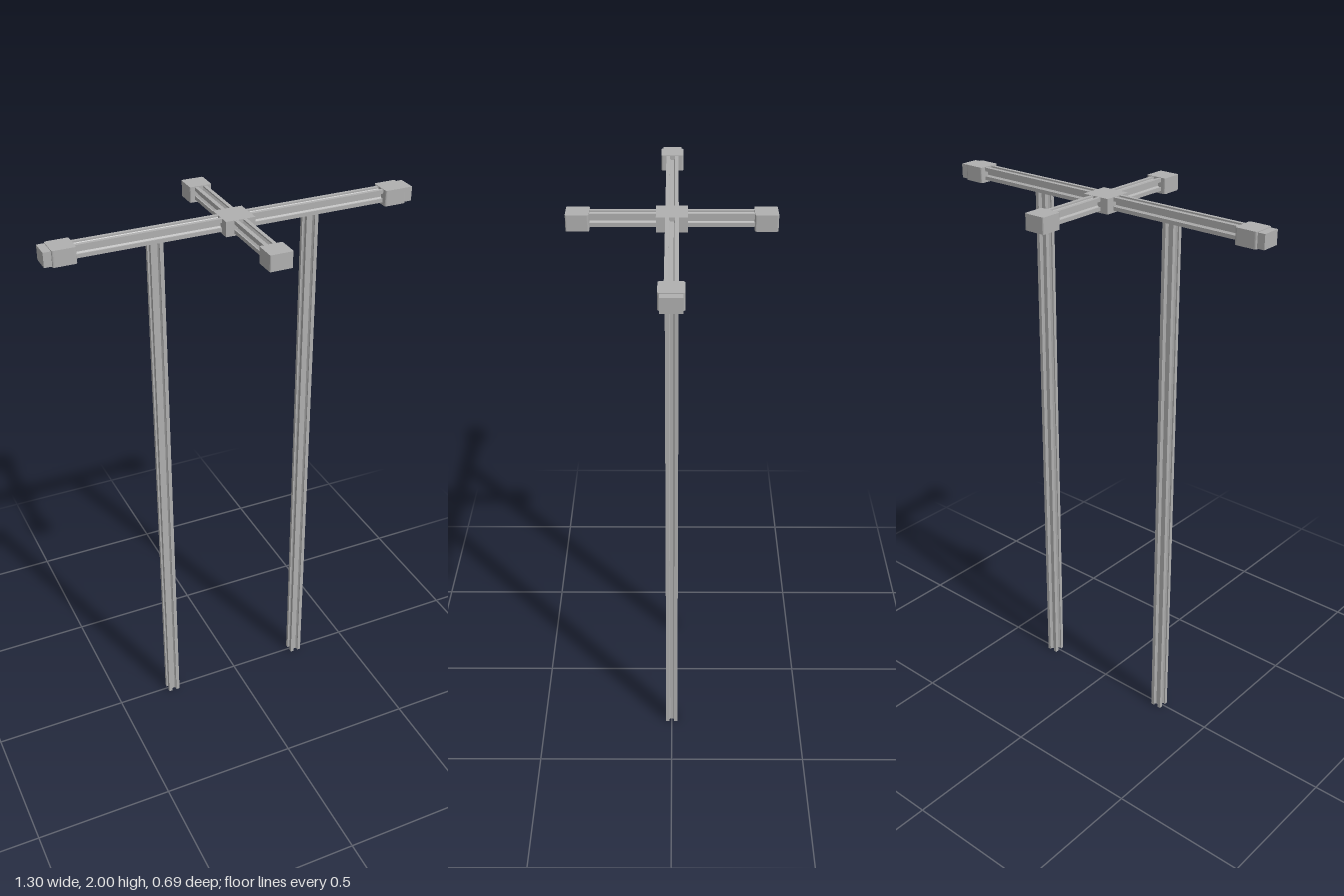
import * as THREE from 'three';

const metal = new THREE.MeshStandardMaterial({ color: 0xb0b0b0 });
metal.name = 'grey metal';

// Square extrusion section with a T-shaped slot in the middle of each side
function railShape(h) {
  const side = [[-h, -h], [-0.009, -h], [-0.009, -h + 0.005], [-0.012, -h + 0.005], [-0.006, -0.009],
    [0.006, -0.009], [0.012, -h + 0.005], [0.009, -h + 0.005], [0.009, -h]];
  const pts = [];
  for (let k = 0; k < 4; k++) {
    const c = Math.round(Math.cos(k * Math.PI / 2)), s = Math.round(Math.sin(k * Math.PI / 2));
    for (const [x, y] of side) pts.push(new THREE.Vector2(x * c - y * s, x * s + y * c));
  }
  return new THREE.Shape(pts);
}

// Slotted rail along z, centred on its length
function rail(name, length) {
  const geo = new THREE.ExtrudeGeometry(railShape(0.022), { depth: length, bevelEnabled: false });
  geo.translate(0, 0, -length / 2);
  const mesh = new THREE.Mesh(geo, metal);
  mesh.name = name;
  return mesh;
}

// Block with rounded upright edges, centred on the origin
function block(name, w, h, d, r) {
  const x = w / 2, z = d / 2, s = new THREE.Shape();
  s.moveTo(-x + r, -z).lineTo(x - r, -z).quadraticCurveTo(x, -z, x, -z + r)
    .lineTo(x, z - r).quadraticCurveTo(x, z, x - r, z)
    .lineTo(-x + r, z).quadraticCurveTo(-x, z, -x, z - r)
    .lineTo(-x, -z + r).quadraticCurveTo(-x, -z, -x + r, -z);
  const geo = new THREE.ExtrudeGeometry(s, { depth: h, bevelEnabled: false, curveSegments: 4 });
  geo.translate(0, 0, -h / 2).rotateX(-Math.PI / 2);
  const mesh = new THREE.Mesh(geo, metal);
  mesh.name = name;
  return mesh;
}

export function createModel() {
  const group = new THREE.Group();
  group.name = 'slottedRailStand';
  const add = (mesh, x, y, z) => {
    mesh.position.set(x, y, z);
    group.add(mesh);
    return mesh;
  };
  const beamY = 1.976, blockY = 1.9725;

  // Central joint of the cross
  add(new THREE.Mesh(new THREE.BoxGeometry(0.104, 0.052, 0.104), metal), 0, blockY, 0).name = 'centreJoint';

  for (const s of [-1, 1]) {
    const label = s > 0 ? 'left' : 'right';
    // Upright post
    add(rail(label + 'Post', 1.955), s * 0.278, 0.9775, 0).rotation.x = Math.PI / 2;

    // Long arm with clamp and end cap
    add(rail(label + 'Arm', 0.52), s * 0.3, beamY, 0).rotation.y = Math.PI / 2;
    add(block(label + 'Clamp', 0.08, 0.055, 0.08, 0.008), s * 0.586, blockY, 0);
    add(new THREE.Mesh(new THREE.BoxGeometry(0.03, 0.05, 0.068), metal), s * 0.637, blockY, 0)
      .name = label + 'EndCap';

    // Short cross arm with clamp
    const end = s > 0 ? 'front' : 'back';
    add(rail(end + 'Arm', 0.24), 0, beamY, s * 0.16);
    add(block(end + 'Clamp', 0.08, 0.055, 0.077, 0.006), 0, blockY, s * 0.307);
  }
  return group;
}
